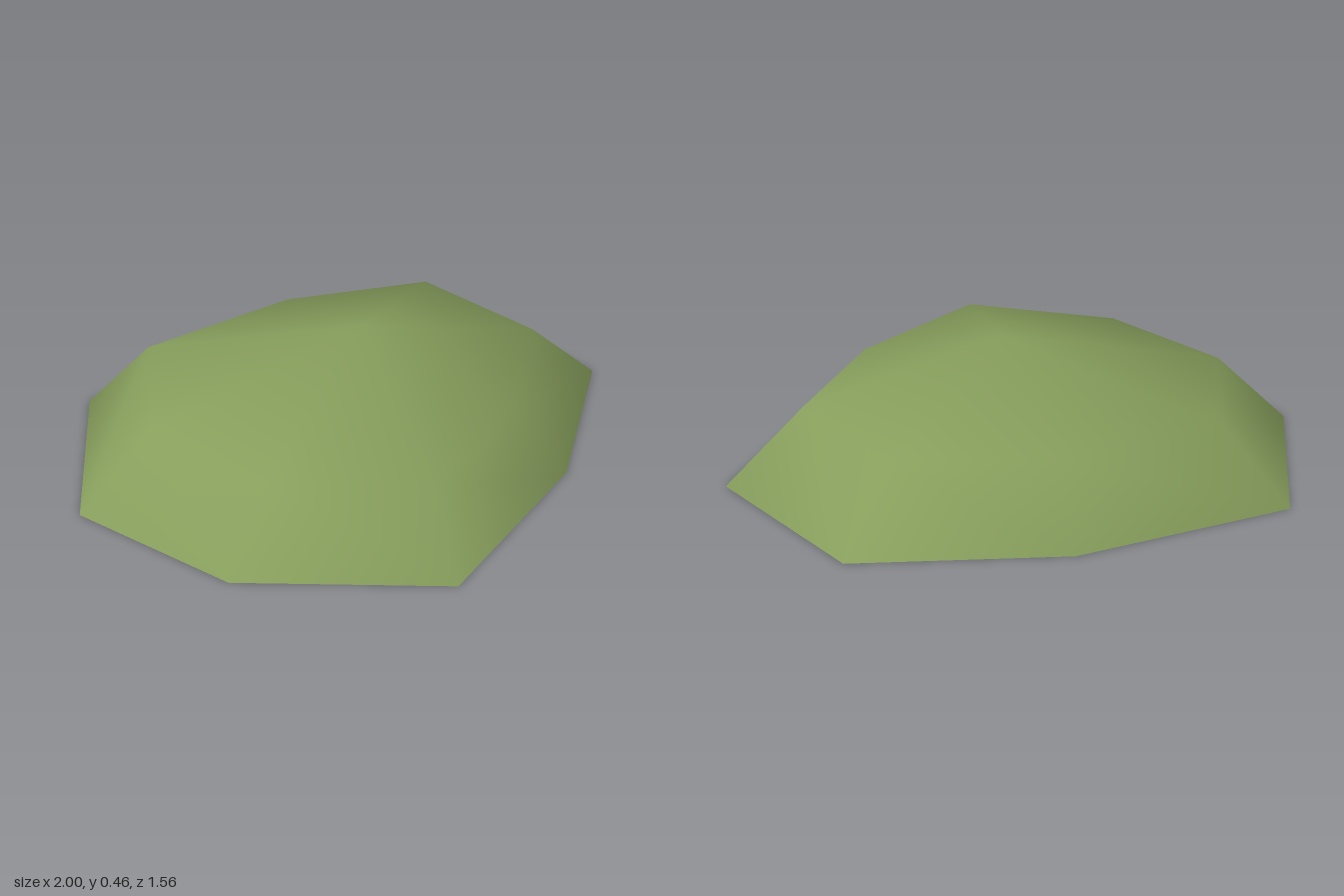
import * as THREE from 'three';

// Two irregular eight-point rings [x, z], clockwise from the back
const baseRing = [[-0.01, -0.78], [0.7, -0.64], [1, -0.07], [0.6, 0.42],
  [-0.01, 0.78], [-0.67, 0.455], [-1, -0.07], [-0.77, -0.68]];
const shoulderRing = [[0, -0.625], [0.52, -0.52], [0.725, -0.07], [0.45, 0.31],
  [0, 0.595], [-0.48, 0.34], [-0.735, -0.07], [-0.57, -0.545]];

// Open-bottomed dome: base ring, shoulder ring and a peak, with shared smooth normals
function moundGeometry() {
  const n = baseRing.length;
  const peak = 2 * n;
  const positions = [];
  for (const [x, z] of baseRing) positions.push(x, 0, z);
  for (const [x, z] of shoulderRing) positions.push(x, 0.265, z);
  positions.push(0.05, 0.455, -0.09);

  const index = [];
  for (let k = 0; k < n; k++) {
    const p = (k + n - 1) % n;
    index.push(n + k, k, p, n + k, p, n + p); // side wall
    index.push(peak, n + k, n + p); // crown
  }

  const geometry = new THREE.BufferGeometry();
  geometry.setAttribute('position', new THREE.Float32BufferAttribute(positions, 3));
  geometry.setIndex(index);
  geometry.computeVertexNormals();
  return geometry;
}

export function createModel() {
  const group = new THREE.Group();
  group.name = 'mound';

  const mossGreen = new THREE.MeshStandardMaterial({ color: 0x879e5c, side: THREE.DoubleSide });
  mossGreen.name = 'moss green';

  const dome = new THREE.Mesh(moundGeometry(), mossGreen);
  dome.name = 'dome';
  group.add(dome);
  return group;
}
